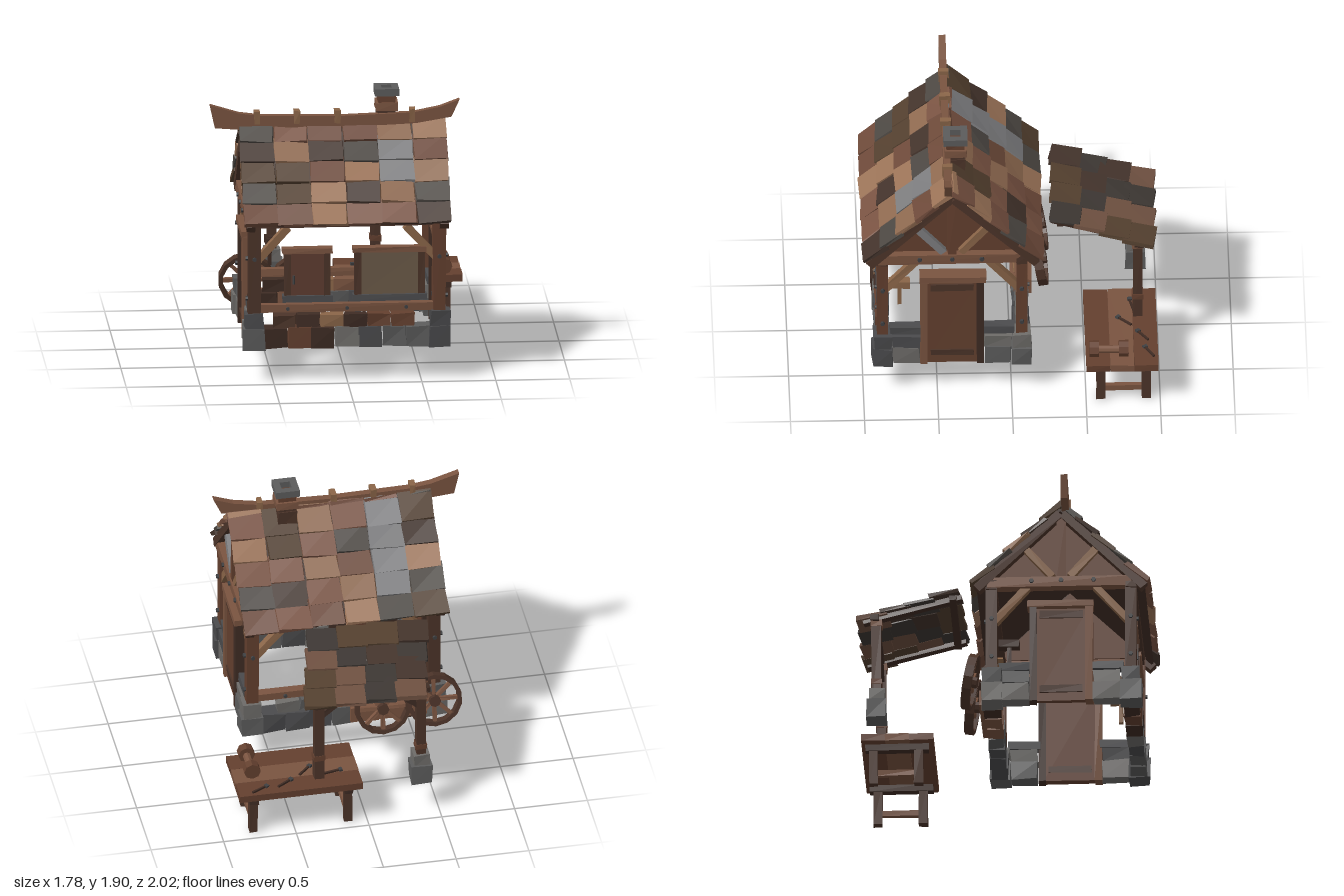
import * as THREE from 'three';

const WOOD = [0x64402f, 0x7a5440, 0x4c3429, 0x8a6548, 0x3f2c24];
const TILE = [0x8f6a50, 0x6e4a3a, 0x54402f, 0x9c7458, 0x44342c, 0x7b5443, 0x4d4843];
const DARK_TILE = [0x54402f, 0x44342c, 0x6e5040, 0x3d3733];
const STONE = [0x5c5c5c, 0x6e6c69, 0x4b4b4d];
const IRON = 0x3f4042, SILVER = 0x7d7d7f;

export function createModel() {
  const root = new THREE.Group();
  let seed = 7;
  const rnd = () => (seed = (seed * 16807) % 2147483647) / 2147483647;
  const vary = (a) => (rnd() * 2 - 1) * a;
  const pick = (list) => list[Math.floor(rnd() * list.length)];
  const points = (list) => list.map((p) => new THREE.Vector2(...p));
  const mats = {};
  const mat = (c) => (mats[c] ??= new THREE.MeshStandardMaterial({ color: c, flatShading: true }));

  function group(name, parent = root) {
    const g = new THREE.Group();
    g.name = name;
    parent.add(g);
    return g;
  }
  function add(parent, name, geo, color, x = 0, y = 0, z = 0) {
    const m = new THREE.Mesh(geo, mat(color));
    m.name = name;
    m.position.set(x, y, z);
    parent.add(m);
    return m;
  }
  // Box with its eight corners nudged for a hand-hewn look
  function box(parent, name, color, [w, h, d], [x, y, z], jit = 0.003) {
    const geo = new THREE.BoxGeometry(w, h, d);
    const p = geo.attributes.position;
    const off = Array.from({ length: 8 }, () => [vary(jit), vary(jit), vary(jit)]);
    for (let i = 0; i < p.count; i++) {
      const o = off[(p.getX(i) > 0 ? 1 : 0) + (p.getY(i) > 0 ? 2 : 0) + (p.getZ(i) > 0 ? 4 : 0)];
      p.setXYZ(i, p.getX(i) + o[0], p.getY(i) + o[1], p.getZ(i) + o[2]);
    }
    geo.computeVertexNormals();
    return add(parent, name, geo, color, x, y, z);
  }
  // Square timber between two points
  function beam(parent, name, color, a, b, w, d = w) {
    const A = new THREE.Vector3(...a), B = new THREE.Vector3(...b);
    const dir = B.clone().sub(A), mid = A.clone().add(B).multiplyScalar(0.5);
    const m = box(parent, name, color, [w, dir.length(), d], mid.toArray());
    m.quaternion.setFromUnitVectors(new THREE.Vector3(0, 1, 0), dir.normalize());
    return m;
  }
  function rod(parent, name, color, r, len, pos, axis = 'y', sides = 8) {
    const m = add(parent, name, new THREE.CylinderGeometry(r, r, len, sides), color, ...pos);
    if (axis === 'x') m.rotation.z = Math.PI / 2;
    if (axis === 'z') m.rotation.x = Math.PI / 2;
    return m;
  }

  // Stone footing: corner blocks and two courses, partly patched with wood
  const base = group('stoneFooting');
  const ZF = 0.87, ZB = -0.07, XS = 0.63;
  for (const x of [-XS, XS]) for (const z of [ZF, ZB]) {
    box(base, 'cornerStone', pick(STONE), [0.15, 0.14, 0.14], [x, 0.295, z], 0.008);
    box(base, 'cornerStone', pick(STONE), [0.13, 0.11, 0.12], [x, 0.415, z], 0.008);
  }
  for (const z of [ZF, ZB]) for (let i = 0; i < 7; i++) {
    const x = -0.48 + i * 0.16;
    box(base, 'wallStone', pick(i < 3 ? WOOD : STONE), [0.155, 0.14, 0.11], [x, 0.3, z], 0.008);
    if (i < 6) box(base, 'wallStone', pick(z === ZF || i < 4 ? WOOD : STONE), [0.155, 0.085, 0.085], [x + 0.06, 0.412, z], 0.008);
  }
  box(base, 'backLog', WOOD[1], [0.52, 0.11, 0.05], [-0.3, 0.315, -0.13], 0.005);
  for (const x of [-XS, XS]) for (const z of [0.71, 0.09]) {
    box(base, 'sideStone', pick(STONE), [0.11, 0.13, 0.18], [x, 0.3, z], 0.007);
    box(base, 'sideStone', pick(STONE), [0.1, 0.09, 0.18], [x, 0.41, z], 0.007);
    box(base, 'sideSill', STONE[2], [0.07, 0.055, 0.22], [x, 0.495, z]);
  }

  // Timber frame: posts, sills, plates, braces and pegs
  const frame = group('timberFrame');
  for (const z of [ZF, ZB]) {
    const out = z === ZF ? 1 : -1;
    box(frame, 'sill', WOOD[1], [1.2, 0.055, 0.06], [0, 0.5, z]);
    box(frame, 'topPlate', WOOD[2], [1.36, 0.07, 0.07], [0, 1.1, z]);
    for (const x of [-0.4, 0, 0.4]) rod(frame, 'peg', IRON, 0.013, 0.02, [x, 0.5, z + out * 0.033], 'z', 6);
    for (const s of [-1, 1]) {
      box(frame, 'cornerPost', WOOD[s > 0 ? 0 : 2], [0.085, 0.68, 0.075], [s * 0.625, 0.8, z]);
      beam(frame, 'frontBrace', WOOD[3], [s * 0.6, 0.84, z], [s * 0.4, 1.06, z], 0.05);
      beam(frame, 'sideBrace', WOOD[3], [s * XS, 0.84, z - out * 0.02], [s * XS, 1.09, z - out * 0.24], 0.05);
      rod(frame, 'peg', IRON, 0.015, 0.025, [s * 0.625, 0.85, z + out * 0.04], 'z', 6);
      for (const y of [0.57, 0.85]) rod(frame, 'peg', IRON, 0.015, 0.025, [s * 0.672, y, z], 'x', 6);
    }
  }

  // Gable ends with tie beam, king post and struts
  const tri = new THREE.Shape(points([[-0.5, 1.13], [0.5, 1.13], [0, 1.62]]));
  for (const s of [-1, 1]) {
    const g = group('gable');
    const wall = add(g, 'gableWall', new THREE.ExtrudeGeometry(tri, { depth: 0.03, bevelEnabled: false }), WOOD[0], s * 0.615 - 0.015, 0, 0.4);
    wall.rotation.y = Math.PI / 2;
    box(g, 'tieBeam', WOOD[1], [0.07, 0.075, 1.0], [s * 0.645, 1.115, 0.4]);
    box(g, 'kingPost', WOOD[0], [0.05, 0.46, 0.06], [s * 0.645, 1.37, 0.4]);
    beam(g, 'strut', s > 0 ? SILVER : WOOD[3], [s * 0.645, 1.16, 0.46], [s * 0.645, 1.37, 0.64], 0.05);
    beam(g, 'strut', WOOD[3], [s * 0.645, 1.16, 0.34], [s * 0.645, 1.37, 0.16], 0.05);
    beam(g, 'rafter', WOOD[2], [s * 0.655, 1.62, 0.41], [s * 0.655, 1.07, 0.96], 0.06);
    beam(g, 'rafter', WOOD[2], [s * 0.655, 1.62, 0.39], [s * 0.655, 1.07, -0.17], 0.06);
    for (const z of [0.62, 0.4, 0.2]) rod(g, 'peg', IRON, 0.016, 0.02, [s * 0.685, 1.12, z], 'x', 6);
  }

  // Main roof: boarding and overlapping warped tiles, six columns by five rows a side
  const roof = group('roof');
  const pitch = 0.78;
  for (const s of [1, -1]) {
    const z0 = s > 0 ? 0.405 : 0.385;
    const at = (t, lift) => [z0 + s * (t * Math.cos(pitch) + lift * Math.sin(pitch)), 1.668 - t * Math.sin(pitch) + lift * Math.cos(pitch)];
    const [bz, by] = at(0.4, -0.02);
    box(roof, 'roofBoarding', WOOD[4], [1.36, 0.02, 0.79], [0, by, bz], 0).rotation.x = s * pitch;
    for (let c = 0; c < 6; c++) for (let r = 0; r < 5; r++) {
      const silver = s > 0 ? c === 4 && r > 0 && r < 3 : c === 1 && r < 4;
      const [tz, ty] = at((r + 1) * 0.163 - 0.1 + vary(0.005), 0.011);
      const t = box(roof, 'roofTile', silver ? SILVER : pick(TILE), [0.228, 0.028, 0.2], [-0.585 + c * 0.234, ty, tz], 0.009);
      t.rotation.set(s * (pitch - 0.09), vary(0.03), vary(0.02));
    }
  }

  // Ridge beam with upswept ends and wrapped bands
  const ridge = new THREE.Shape(points([[-0.895, 1.81], [-0.86, 1.65], [-0.68, 1.635], [0, 1.64], [0.5, 1.66], [0.74, 1.7],
    [0.795, 1.82], [0.66, 1.77], [0.48, 1.735], [0, 1.72], [-0.55, 1.73], [-0.7, 1.75]]));
  add(roof, 'ridgeBeam', new THREE.ExtrudeGeometry(ridge, { depth: 0.048, bevelEnabled: false }), WOOD[1], 0, 0, 0.405);
  for (const x of [-0.575, -0.305, -0.03, 0.475]) box(roof, 'ridgeBand', WOOD[3], [0.04, 0.09, 0.07], [x, 1.715, 0.427]);

  // Chimney with open cap
  const chimney = group('chimney');
  for (const [w, y, h, c] of [[0.13, 1.65, 0.14, WOOD[2]], [0.15, 1.775, 0.055, WOOD[1]], [0.12, 1.73, 0.07, WOOD[2]], [0.12, 1.825, 0.06, WOOD[0]]])
    box(chimney, 'chimneyCourse', c, [w, h, w], [0.305, y, 0.37]);
  const rect = (r) => points([[-r, -r], [r, -r], [r, r], [-r, r]]);
  const capShape = new THREE.Shape(rect(0.082));
  capShape.holes.push(new THREE.Path(rect(0.035)));
  add(chimney, 'chimneyCap', new THREE.ExtrudeGeometry(capShape, { depth: 0.05, bevelEnabled: false }), STONE[0], 0.305, 1.85, 0.37).rotation.x = -Math.PI / 2;

  // Side doors
  for (const s of [-1, 1]) {
    const g = group('door');
    const x = s * 0.645;
    box(g, 'doorLeaf', WOOD[0], [0.045, 0.68, 0.36], [x, 0.575, 0.4]);
    box(g, 'doorPost', WOOD[1], [0.085, 0.7, 0.05], [x, 0.58, 0.59]);
    box(g, 'doorPost', WOOD[4], [0.085, 0.7, 0.05], [x, 0.58, 0.21]);
    box(g, 'lintel', WOOD[1], [0.1, 0.045, 0.45], [x, 0.945, 0.395]);
    for (const y of [0.32, 0.87]) box(g, 'doorBatten', WOOD[2], [0.065, 0.05, 0.29], [x + s * 0.002, y, 0.4]);
  }

  // Front window panels with top and bottom rails
  for (const [x, w, c] of [[-0.265, 0.31, 0x5f3c30], [0.29, 0.47, 0x6b5a48]]) {
    const g = group('windowPanel');
    box(g, 'panel', c, [w - 0.04, 0.32, 0.03], [x, 0.735, ZF], 0.004);
    for (const s of [-1, 1]) box(g, 'sideRail', WOOD[2], [0.045, 0.33, 0.05], [x + s * (w / 2 - 0.02), 0.735, ZF]);
    box(g, 'topRail', WOOD[1], [w + 0.03, 0.035, 0.07], [x, 0.9, ZF]);
    box(g, 'bottomRail', STONE[2], [w + 0.03, 0.04, 0.07], [x, 0.567, ZF]);
  }
  rod(root, 'windowHandle', IRON, 0.008, 0.06, [-0.36, 0.7, 0.9], 'y', 6);

  // Hanging mallets inside
  for (const [x, z, c] of [[0.46, 0.75, WOOD[3]], [-0.46, 0.04, WOOD[4]]]) {
    const g = group('hangingMallet');
    box(g, 'malletHandle', c, [0.03, 0.2, 0.03], [x, 0.68, z]);
    box(g, 'malletHead', c, [0.06, 0.05, 0.14], [x, 0.75, z], 0.006);
  }

  // Lean-to: skewed tiled roof on two braced posts
  const lean = group('leanTo');
  for (let r = 0; r < 4; r++) for (let c = 0; c < 4; c++) {
    const t = box(lean, 'leanToTile', pick(DARK_TILE), [0.205, 0.028, 0.21],
      [-0.42 + c * 0.207 + r * 0.038, 1.118 - r * 0.034 + vary(0.004), -0.382 - r * 0.165 + (c - 2) * 0.004], 0.006);
    t.rotation.set(-0.16, -0.12 + vary(0.03), 0);
  }
  for (const [x, s] of [[-0.38, 1], [0.32, -1]]) {
    beam(lean, 'leanToRafter', WOOD[4], [x - 0.08, 1.105, -0.28], [x + 0.02, 0.98, -0.95], 0.04);
    box(lean, 'leanToPost', WOOD[2], [0.065, 0.63, 0.065], [x, 0.665, -0.86]);
    box(lean, 'postCapital', WOOD[1], [0.08, 0.045, 0.08], [x, 0.955, -0.86]);
    box(lean, 'postCollar', WOOD[0], [0.078, 0.04, 0.078], [x, 0.52, -0.86]);
    beam(lean, 'leanToBrace', WOOD[4], [x, 0.84, -0.86], [x + s * 0.18, 0.985, -0.86], 0.04);
  }
  box(lean, 'leanToBeam', WOOD[4], [0.84, 0.04, 0.06], [-0.02, 0.99, -0.87]);
  box(lean, 'leanToBeam', WOOD[4], [0.8, 0.035, 0.05], [-0.12, 1.085, -0.34]);
  box(lean, 'postStone', STONE[0], [0.14, 0.14, 0.13], [-0.38, 0.31, -0.86], 0.007);
  box(lean, 'postStone', STONE[1], [0.11, 0.09, 0.11], [-0.38, 0.42, -0.86], 0.007);

  // Workbench
  const bench = group('workbench');
  for (let i = 0; i < 3; i++) box(bench, 'benchPlank', WOOD[i % 2], [0.845, 0.05, 0.162], [0.462, 0.317, -0.58 - i * 0.163], 0.002);
  for (const x of [0.13, 0.78]) {
    for (const z of [-0.6, -0.905]) box(bench, 'benchLeg', WOOD[2], [0.055, 0.29, 0.06], [x, 0.147, z]);
    box(bench, 'benchStretcher', WOOD[1], [0.035, 0.04, 0.28], [x, 0.085, -0.75]);
    box(bench, 'benchCrossbar', WOOD[4], [0.06, 0.06, 0.43], [x, 0.275, -0.745]);
  }
  rod(bench, 'roller', WOOD[1], 0.027, 0.22, [0.76, 0.39, -0.655], 'z');
  for (const z of [-0.555, -0.755]) rod(bench, 'rollerHead', WOOD[0], 0.057, 0.065, [0.76, 0.395, z], 'z');
  for (const [x, z, a] of [[0.56, -0.89, 0.6], [0.74, -0.93, 0.5], [0.4, -0.77, 0.8], [0.22, -0.82, 0.2]]) {
    const tool = group('handTool', bench);
    tool.position.set(x, 0.348, z);
    tool.rotation.y = a;
    box(tool, 'toolHandle', WOOD[4], [0.12, 0.014, 0.014], [0, 0, 0], 0.001);
    box(tool, 'toolHead', IRON, [0.025, 0.016, 0.03], [-0.06, 0.002, 0], 0.002);
  }

  // Cart wheels leaning on the back wall
  const rimProfile = points([[0.162, -0.03], [0.19, -0.03], [0.19, 0.03], [0.162, 0.03], [0.162, -0.03]]);
  for (const [x, y, tilt] of [[-0.6, 0.415, 0.2], [-0.245, 0.395, 0.16]]) {
    const wheel = group('cartWheel');
    wheel.position.set(x, y, -0.215);
    wheel.rotation.x = tilt;
    add(wheel, 'rim', new THREE.LatheGeometry(rimProfile, 14), WOOD[2]).rotation.x = Math.PI / 2;
    rod(wheel, 'hub', WOOD[2], 0.04, 0.09, [0, 0, 0], 'z');
    for (let i = 0; i < 8; i++) {
      const a = (i * Math.PI) / 4;
      beam(wheel, 'spoke', WOOD[1], [0, 0, 0], [0.165 * Math.cos(a), 0.165 * Math.sin(a), 0], 0.024);
    }
  }
  return root;
}
